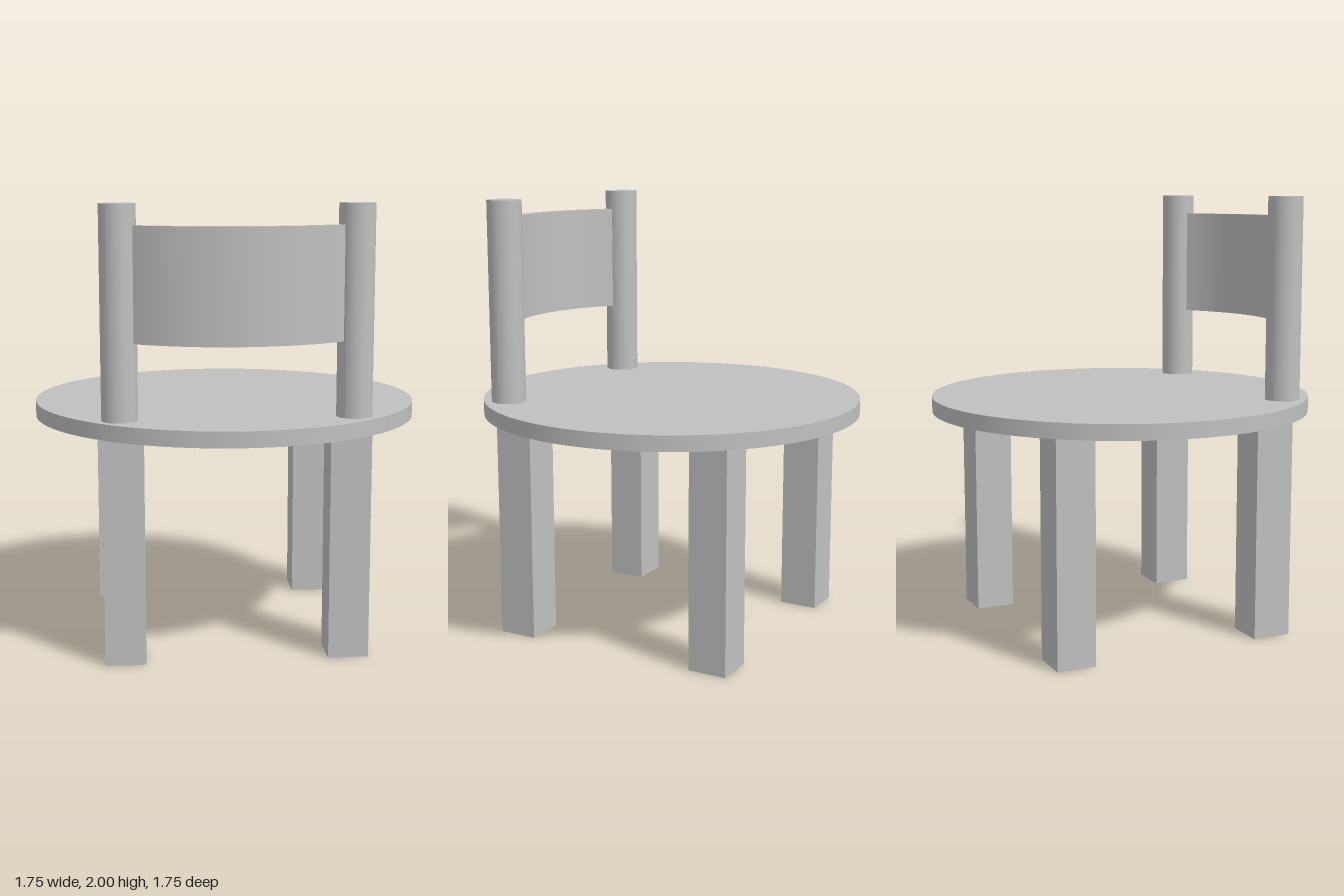
import * as THREE from 'three';
import { toCreasedNormals } from 'three/addons/utils/BufferGeometryUtils.js';

export function createModel() {
  const model = new THREE.Group();
  model.name = 'chair';

  const grey = new THREE.MeshStandardMaterial({ color: 0xc0c0c0 });
  grey.name = 'plain grey';

  const add = (name, geometry, x, y, z) => {
    const mesh = new THREE.Mesh(geometry, grey);
    mesh.name = name;
    mesh.position.set(x, y, z);
    model.add(mesh);
  };

  // Round seat
  const seatBottom = 1.02, seatTop = 1.09;
  add('seat', new THREE.CylinderGeometry(0.875, 0.875, seatTop - seatBottom, 96),
    0, (seatBottom + seatTop) / 2, 0);

  // Square legs, placed slightly unevenly
  const leg = new THREE.BoxGeometry(0.18, seatBottom, 0.18);
  const legs = [
    ['frontLeftLeg', 0.5, 0.49],
    ['frontRightLeg', -0.487, 0.5],
    ['backLeftLeg', 0.48, -0.494],
    ['backRightLeg', -0.505, -0.48],
  ];
  for (const [name, x, z] of legs) add(name, leg, x, seatBottom / 2, z);

  // Round posts carrying the backrest
  const postHeight = 2 - seatTop;
  const post = new THREE.CylinderGeometry(0.078, 0.078, postHeight, 48);
  add('leftPost', post, 0.511, seatTop + postHeight / 2, 0.567);
  add('rightPost', post, -0.499, seatTop + postHeight / 2, 0.58);

  // Curved backrest: an arc-shaped strip whose ends sink into the posts
  const outer = 0.75, inner = 0.707;
  const start = Math.PI / 2 - 0.662, end = Math.PI / 2 + 0.64;
  const strip = new THREE.Shape();
  strip.absarc(0, 0, outer, start, end, false);
  strip.absarc(0, 0, inner, end, start, true);
  const panel = new THREE.ExtrudeGeometry(strip, { depth: 0.49, bevelEnabled: false, curveSegments: 40 });
  panel.rotateX(Math.PI / 2);
  add('backrest', toCreasedNormals(panel, 0.5), 0, 1.91, 0.018);

  return model;
}
